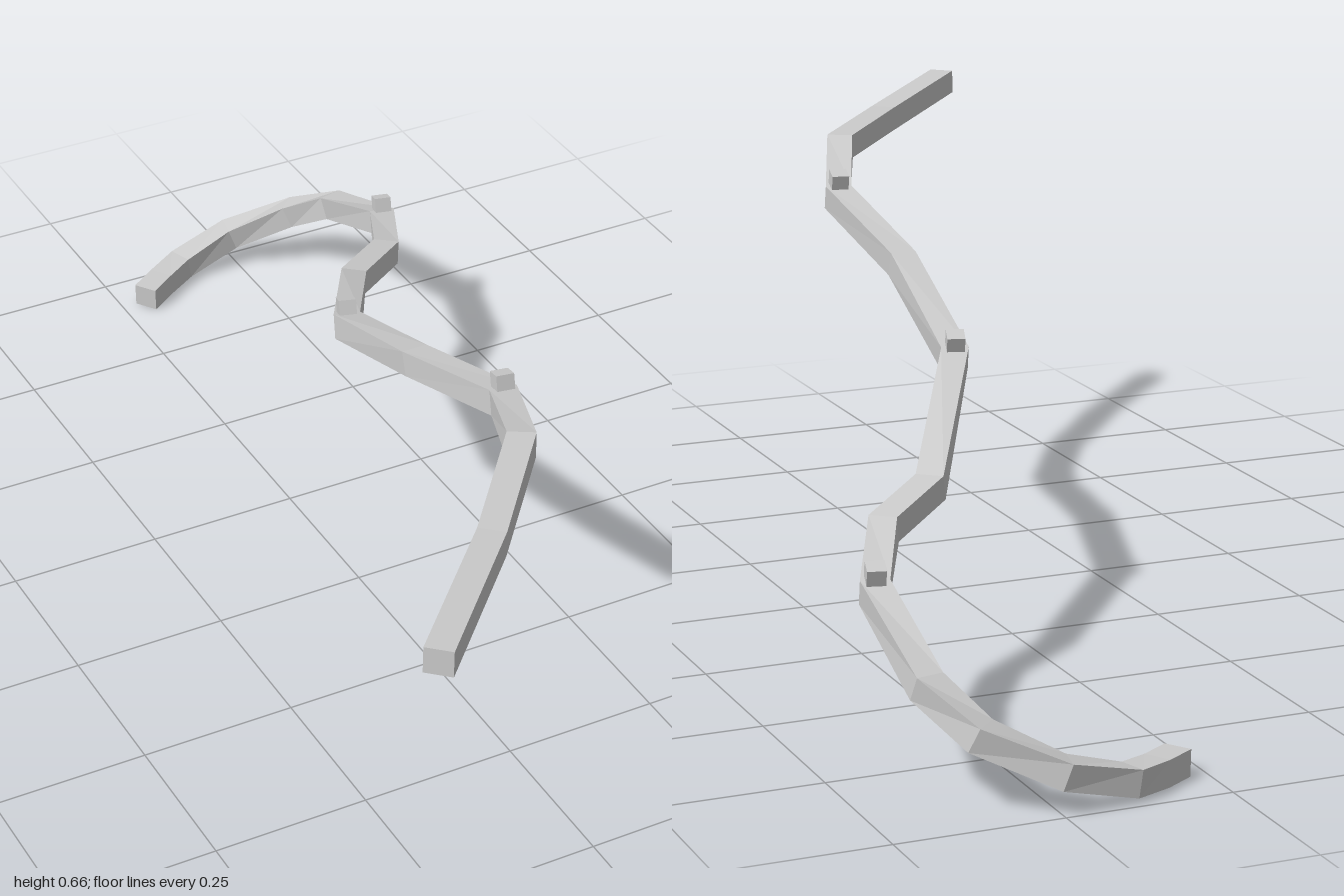
import * as THREE from 'three';

// Centre line of the rail, from the high front end to the low curled end
const PATH = [
  [-0.393, 0.652, 0.975], [-0.19, 0.634, 0.755], [-0.034, 0.628, 0.563], [0.037, 0.578, 0.39],
  [0.02, 0.513, 0.15], [0.04, 0.419, -0.115], [0.195, 0.302, -0.393], [0.307, 0.277, -0.487],
  [0.382, 0.235, -0.64], [0.386, 0.16, -0.84], [0.343, 0.111, -0.925], [0.243, 0.063, -0.979],
  [0.14, 0.034, -0.968], [0.085, 0.029, -0.937], [0.038, 0.027, -0.905],
].map((p) => new THREE.Vector3(...p));
const HALF_WIDTH = 0.021, HALF_HEIGHT = 0.02;

// Upright frame at each path point, with a mitre factor that keeps the width even
function frameAt(i) {
  const before = PATH[i].clone().sub(PATH[Math.max(i - 1, 0)]).normalize();
  const after = PATH[Math.min(i + 1, PATH.length - 1)].clone().sub(PATH[i]).normalize();
  const forward = before.clone().add(after).normalize();
  const side = forward.clone().cross(new THREE.Vector3(0, 1, 0)).normalize();
  const up = side.clone().cross(forward);
  const mitre = 1 / forward.dot(i > 0 ? before : after);
  return { forward, side, up, mitre };
}

// Square section swept along the path, closed at both ends
function railGeometry() {
  const rings = PATH.map((p, i) => {
    const { side, up, mitre } = frameAt(i);
    return [[-1, -1], [1, -1], [1, 1], [-1, 1]].map(([a, b]) => p.clone()
      .addScaledVector(side, a * HALF_WIDTH * mitre).addScaledVector(up, b * HALF_HEIGHT));
  });
  const pos = [];
  const quad = (a, b, c, d) => [a, b, c, a, c, d].forEach((v) => pos.push(v.x, v.y, v.z));
  for (let i = 0; i < rings.length - 1; i++) {
    for (let k = 0; k < 4; k++) {
      const n = (k + 1) % 4;
      quad(rings[i][k], rings[i + 1][k], rings[i + 1][n], rings[i][n]);
    }
  }
  const first = rings[0], last = rings[rings.length - 1];
  quad(first[0], first[1], first[2], first[3]);
  quad(last[3], last[2], last[1], last[0]);
  const geo = new THREE.BufferGeometry();
  geo.setAttribute('position', new THREE.Float32BufferAttribute(pos, 3));
  geo.computeVertexNormals();
  return geo;
}

export function createModel() {
  const group = new THREE.Group();
  group.name = 'curvedRail';
  const material = new THREE.MeshStandardMaterial({ color: 0xcccccc, flatShading: true, side: THREE.DoubleSide });

  const rail = new THREE.Mesh(railGeometry(), material);
  rail.name = 'rail';
  group.add(rail);

  // Small blocks standing on the rail at three of its bends
  [3, 5, 8].forEach((i, n) => {
    const { forward, side, up } = frameAt(i);
    const block = new THREE.Mesh(new THREE.BoxGeometry(0.028, 0.03, 0.028), material);
    block.name = `block${n + 1}`;
    block.position.copy(PATH[i]).addScaledVector(up, HALF_HEIGHT + 0.009);
    block.quaternion.setFromRotationMatrix(
      new THREE.Matrix4().makeBasis(side, up, forward.clone().negate()));
    group.add(block);
  });
  return group;
}
